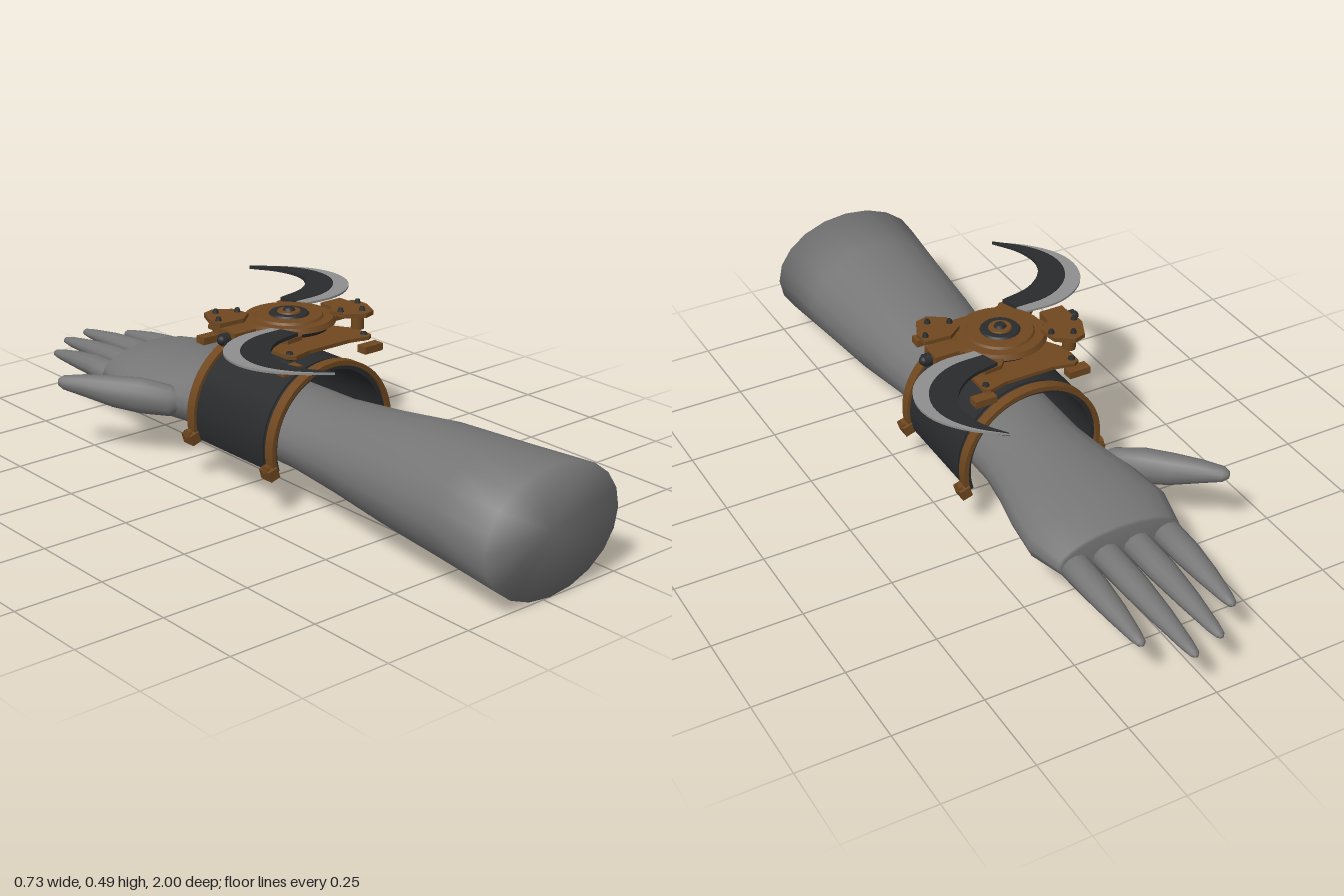
import * as THREE from 'three';

const mat = (name, color) => Object.assign(new THREE.MeshStandardMaterial({ color }), { name });

export function createModel() {
  const skin = mat('grey skin', 0x767677);
  const bronze = mat('bronze', 0x704820);
  const dark = mat('dark leather and iron', 0x2a2b2d);
  const steel = mat('sharpened steel', 0x8e8e8e);
  const model = new THREE.Group();
  model.name = 'armWithBladeGauntlet';

  const add = (parent, name, geo, material, x = 0, y = 0, z = 0) => {
    const m = new THREE.Mesh(geo, material);
    m.name = name;
    m.position.set(x, y, z);
    parent.add(m);
    return m;
  };

  // Closed smooth loft through ellipses [z, cx, cy, rx, ry], running towards -z
  const loft = (sections, n) => {
    const pos = [], idx = [];
    for (const [z, cx, cy, rx, ry] of sections)
      for (let j = 0; j < n; j++) {
        const a = (j / n) * Math.PI * 2;
        pos.push(cx + rx * Math.cos(a), cy + ry * Math.sin(a), z);
      }
    const last = sections.length - 1, c0 = sections.length * n;
    for (const s of [sections[0], sections[last]]) pos.push(s[1], s[2], s[0]);
    for (let j = 0; j < n; j++) {
      const k = (j + 1) % n;
      for (let i = 0; i < last; i++) {
        const a = i * n + j, b = i * n + k;
        idx.push(a, a + n, b, b, a + n, b + n);
      }
      idx.push(c0, j, k, c0 + 1, last * n + k, last * n + j);
    }
    const g = new THREE.BufferGeometry();
    g.setAttribute('position', new THREE.Float32BufferAttribute(pos, 3));
    g.setIndex(idx);
    g.computeVertexNormals();
    return g;
  };

  // Forearm, wrist and palm
  add(model, 'forearmAndPalm', loft([
    [1, 0.022, 0.172, 0.23, 0.172],
    [0.8, 0.023, 0.173, 0.21, 0.159],
    [0.57, 0.024, 0.175, 0.19, 0.145],
    [0.38, 0.021, 0.174, 0.167, 0.12],
    [0.2, 0.02, 0.173, 0.151, 0.102],
    [-0.15, 0.022, 0.174, 0.151, 0.096],
    [-0.25, 0.021, 0.172, 0.167, 0.094],
    [-0.35, 0.02, 0.17, 0.19, 0.091],
    [-0.48, 0.022, 0.168, 0.206, 0.088],
    [-0.585, 0.024, 0.168, 0.18, 0.068],
    [-0.592, 0.024, 0.168, 0.172, 0.062],
  ], 20), skin);

  // Four fingers
  [[-0.114, -0.89], [-0.024, -0.972], [0.066, -1], [0.156, -0.905]].forEach(([x, tip], i) => {
    const at = (t) => -0.57 + (tip + 0.57) * t;
    add(model, 'finger' + (i + 1), loft([
      [at(0), x, 0.16, 0.041, 0.036],
      [at(0.35), x, 0.16, 0.038, 0.031],
      [at(0.65), x, 0.155, 0.029, 0.024],
      [at(0.9), x, 0.148, 0.018, 0.015],
      [at(0.98), x, 0.146, 0.012, 0.01],
      [at(1), x, 0.145, 0.005, 0.004],
    ], 12), skin);
  });

  // Thumb
  add(model, 'thumb', loft([
    [0.02, 0, -0.01, 0.012, 0.02],
    [-0.02, 0, -0.01, 0.034, 0.045],
    [-0.1, 0, 0, 0.043, 0.051],
    [-0.18, 0, 0.008, 0.04, 0.045],
    [-0.26, 0, 0.02, 0.031, 0.032],
    [-0.32, 0, 0.026, 0.022, 0.02],
    [-0.335, 0, 0.027, 0.01, 0.01],
  ], 14), skin, -0.13, 0.183, -0.265).rotation.y = 0.72;

  // Wrist guard: open arcs around the arm
  const CX = 0.022, CY = 0.173, CZ = 0.035, END = 0.3;
  const arc = (r0, r1, depth, end = END) => {
    const s = new THREE.Shape();
    s.absarc(0, 0, r1, -end, Math.PI + end, false);
    s.absarc(0, 0, r0, Math.PI + end, -end, true);
    const g = new THREE.ExtrudeGeometry(s, { depth, bevelEnabled: false, curveSegments: 40 });
    return g.translate(0, 0, -depth / 2);
  };
  const guard = new THREE.Group();
  guard.name = 'wristGuard';
  guard.position.set(CX, CY, CZ);
  model.add(guard);
  add(guard, 'leatherBand', arc(0.183, 0.199, 0.34), dark);
  add(guard, 'leatherPanel', arc(0.198, 0.203, 0.27, 0.22), dark);
  for (const e of [-1, 1]) {
    add(guard, 'bronzeRim', arc(0.195, 0.208, 0.03), bronze, 0, 0, e * 0.166);
    for (const s of [-1, 1]) {
      add(guard, 'rimFoot', new THREE.BoxGeometry(0.03, 0.03, 0.042), bronze,
        s * 0.205, -0.053, e * 0.166).rotation.z = -s * 0.3;
      add(guard, 'rimStud', new THREE.CylinderGeometry(0.012, 0.012, 0.012, 10), bronze,
        s * 0.217, -0.04, e * 0.166).rotation.z = Math.PI / 2;
      add(guard, 'mountBlock', new THREE.BoxGeometry(0.062, 0.02, 0.032), bronze,
        s * 0.14, 0.215, e * 0.166);
    }
  }

  // Blade mechanism
  const device = new THREE.Group();
  device.name = 'bladeMechanism';
  device.position.set(0.0235, 0, 0.032);
  model.add(device);
  const plate = (pts, y, h) => {
    const s = new THREE.Shape(pts.map(([x, z]) => new THREE.Vector2(x, -z)));
    return new THREE.ExtrudeGeometry(s, { depth: h, bevelEnabled: false })
      .rotateX(-Math.PI / 2).translate(0, y, 0);
  };
  const disc = (name, r0, r1, y0, y1, m, n = 36) =>
    add(device, name, new THREE.CylinderGeometry(r1, r0, y1 - y0, n), m, 0, (y0 + y1) / 2, 0);

  // Base plate with notched sides, made from one quarter
  const quarter = [[0.112, 0], [0.112, 0.05], [0.142, 0.1], [0.142, 0.168], [0.125, 0.178], [0.07, 0.165]];
  const half = [...quarter, [0, 0.165], ...quarter.slice(1).reverse().map(([x, z]) => [-x, z])];
  const outline = [...half, ...half.map(([x, z]) => [-x, -z])];
  add(device, 'basePlate', plate(outline, 0.414, 0.01), bronze);

  // Round hub
  disc('hubColumn', 0.07, 0.07, 0.42, 0.44, dark);
  disc('hubLowerRing', 0.105, 0.113, 0.434, 0.45, dark);
  disc('hubDisc', 0.125, 0.118, 0.45, 0.464, bronze);
  disc('hubStep', 0.092, 0.088, 0.464, 0.47, bronze);
  disc('hubDarkRing', 0.054, 0.05, 0.47, 0.475, dark);
  disc('hubBronzeCap', 0.032, 0.03, 0.475, 0.479, bronze, 24);
  disc('hubPin', 0.017, 0.013, 0.479, 0.486, dark, 16);

  // Crescent blade from an outer and an inner curve meeting at the tip
  const curve = (pts) => new THREE.CatmullRomCurve3(pts.map(([x, z]) => new THREE.Vector3(x, 0, z)))
    .getPoints(24);
  const outer = curve([[0.206, -0.42], [0.286, -0.354], [0.338, -0.275], [0.348, -0.2],
    [0.323, -0.127], [0.265, -0.074], [0.196, -0.05], [0.105, -0.053]]);
  const inner = curve([[0.206, -0.42], [0.249, -0.344], [0.259, -0.265], [0.228, -0.2],
    [0.169, -0.153], [0.08, -0.132]]);
  const mid = outer.map((p, i) => p.clone().lerp(inner[i], 0.36));
  const strip = (a, b) => [...a, ...b.slice(1).reverse()].map((p) => [p.x, p.z]);

  // Each half is repeated by a half turn
  for (const turn of [0, Math.PI]) {
    const side = new THREE.Group();
    side.name = turn ? 'rightBladeSide' : 'leftBladeSide';
    side.rotation.y = turn;
    device.add(side);
    const sub = (...args) => add(side, ...args);

    sub('bladeBody', plate(strip(mid, inner), 0.456, 0.01), dark);
    sub('bladeEdge', plate(strip(outer, mid), 0.458, 0.006), steel);
    sub('bladeMount', plate([[0.06, -0.06], [0.12, -0.05], [0.145, -0.075], [0.12, -0.14],
      [0.07, -0.135], [0.04, -0.1]], 0.444, 0.012), bronze);

    // Side hinge with dark knob
    sub('hingeBlock', new THREE.BoxGeometry(0.07, 0.036, 0.064), bronze, 0.173, 0.445, 0);
    sub('hingeArm', new THREE.BoxGeometry(0.07, 0.016, 0.04), bronze, 0.12, 0.438, 0);
    sub('hingeKnob', new THREE.CylinderGeometry(0.017, 0.017, 0.022, 14), dark,
      0.217, 0.443, 0).rotation.z = Math.PI / 2;
    sub('hingeKnobEnd', new THREE.SphereGeometry(0.014, 14, 10), dark, 0.226, 0.443, 0);

    // Corner bracket with bolts
    sub('cornerBracket', plate([[0.09, 0.06], [0.13, 0.03], [0.205, 0.035], [0.205, 0.08],
      [0.18, 0.135], [0.145, 0.145], [0.1, 0.115]], 0.462, 0.012), bronze);
    sub('bracketPost', new THREE.CylinderGeometry(0.018, 0.018, 0.04, 12), bronze, 0.15, 0.443, 0.105);
    for (const [x, z] of [[0.192, 0.058], [0.157, 0.115], [0.105, 0.088]])
      sub('bracketBolt', new THREE.CylinderGeometry(0.006, 0.009, 0.01, 10), dark, x, 0.479, z);
    for (const z of [-0.155, 0.155]) {
      sub('plateBolt', new THREE.CylinderGeometry(0.009, 0.007, 0.008, 10), dark, 0.128, 0.411, z);
      sub('plateBoltHead', new THREE.CylinderGeometry(0.008, 0.01, 0.006, 10), dark, 0.128, 0.427, z);
    }
  }
  return model;
}
